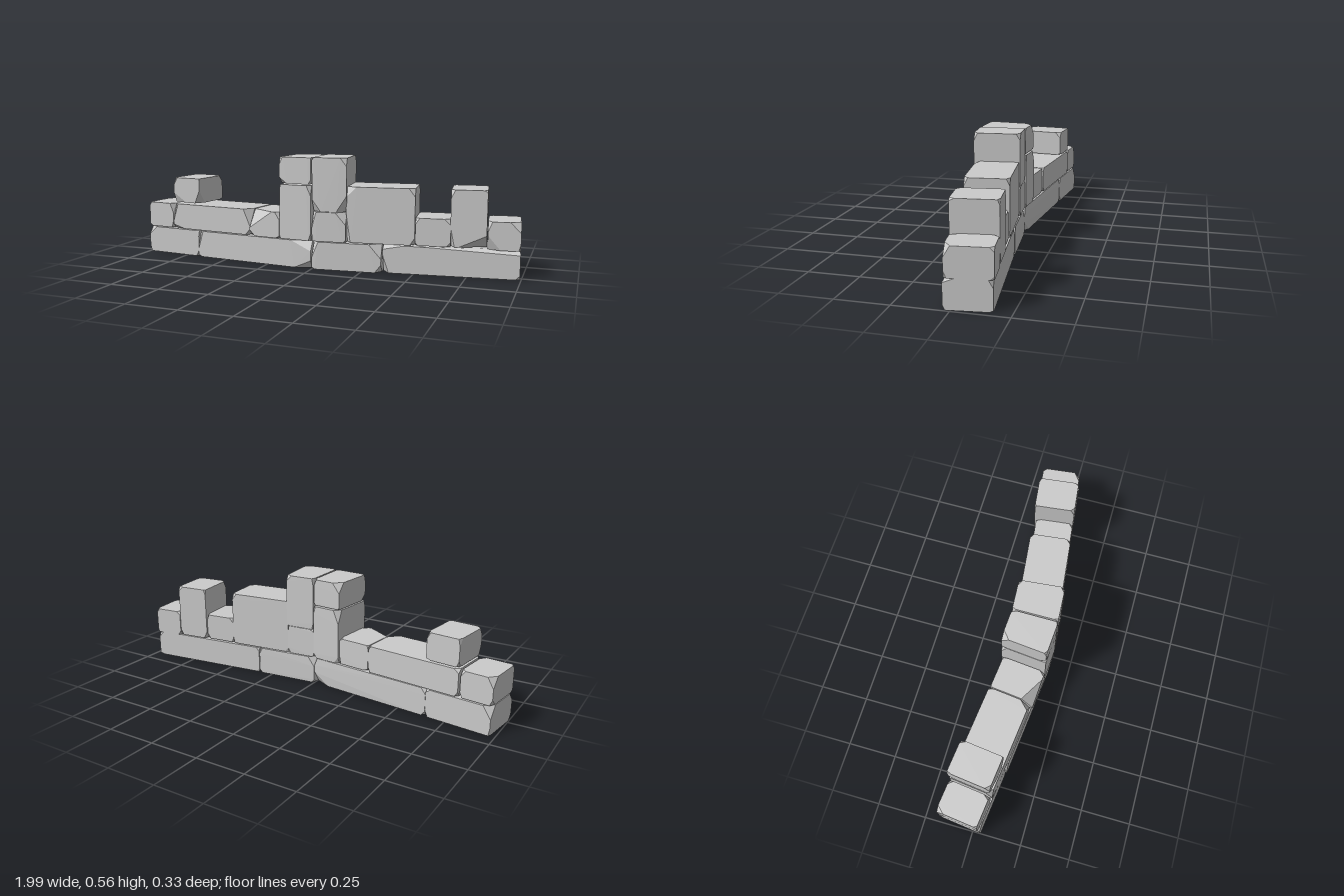
import * as THREE from 'three';
import { ConvexGeometry } from 'three/addons/geometries/ConvexGeometry.js';

// small seeded generator so every stone is chipped the same way each time
let seed = 7;
const rand = () => {
  seed = (seed * 16807) % 2147483647;
  return seed / 2147483647;
};

// centre line of the bowed wall, seen from above
const bow = (x) => 0.046 - 0.115 * Math.hypot(x, 0.1);
const slope = (x) => (-0.115 * x) / Math.hypot(x, 0.1);

// corner of a stone: position along the wall, height, distance from the centre line
function wallPoint(x, y, offset) {
  const n = new THREE.Vector2(-slope(x), 1).normalize();
  return new THREE.Vector3(x + n.x * offset, y, bow(x) + n.y * offset);
}

// a block whose eight corners are each sliced off
// chips: { corner: [along, up, deep] }, corner = L/R (-x/+x) + B/T + F/K (front/back)
function stoneGeometry([x0, x1, y0, y1, back = -0.11, front = 0.11, chips = {}]) {
  const lo = [x0, y0, back], hi = [x1, y1, front];
  const points = [];
  for (const ix of [0, 1]) for (const iy of [0, 1]) for (const iz of [0, 1]) {
    const side = [ix, iy, iz];
    const key = 'LR'[ix] + 'BT'[iy] + 'KF'[iz];
    const cut = chips[key] ||
      [0.006 + 0.02 * rand(), 0.006 + 0.035 * rand(), 0.006 + 0.025 * rand()];
    for (let axis = 0; axis < 3; axis++) {
      const p = side.map((s, i) => (s ? hi[i] : lo[i]));
      const size = hi[axis] - lo[axis];
      p[axis] += (side[axis] ? -1 : 1) * Math.min(cut[axis], size * 0.85);
      points.push(wallPoint(...p));
    }
  }
  return new ConvexGeometry(points);
}

// x0, x1, y0, y1, back, front, chips
const courses = {
  baseStone: [
    [-0.988, -0.662, 0, 0.138, -0.11, 0.11, { LTF: [0.05, 0.04, 0.03], LTK: [0.04, 0.06, 0.04] }],
    [-0.66, -0.005, 0, 0.138, -0.108, 0.115,
      { LTF: [0.03, 0.1, 0.03], RTF: [0.1, 0.05, 0.03], RBF: [0.08, 0.04, 0.03], RBK: [0.09, 0.06, 0.04] }],
    [0, 0.335, 0, 0.138, -0.108, 0.115,
      { LTF: [0.03, 0.08, 0.04], RTF: [0.06, 0.07, 0.04], RBF: [0.03, 0.04, 0.04], LTK: [0.04, 0.05, 0.04] }],
    [0.34, 0.983, 0, 0.136, -0.105, 0.1,
      { LTF: [0.1, 0.02, 0.05], LBF: [0.03, 0.09, 0.05], RTF: [0.45, 0.02, 0.05], RBF: [0.02, 0.02, 0.01], RTK: [0.03, 0.035, 0.02] }],
  ],
  middleStone: [
    [-0.988, -0.83, 0.142, 0.273, -0.105, 0.105, { RTF: [0.02, 0.05, 0.03], LTK: [0.03, 0.05, 0.04] }],
    [-0.822, -0.34, 0.142, 0.275, -0.11, 0.11,
      { RTF: [0.04, 0.09, 0.05], LTF: [0.03, 0.09, 0.03], LBF: [0.07, 0.02, 0.02], RBF: [0.03, 0.03, 0.03] }],
    [-0.335, -0.165, 0.142, 0.274, -0.105, 0.122, { LTF: [0.13, 0.09, 0.06], LBF: [0.03, 0.03, 0.03] }],
    [-0.162, -0.003, 0.142, 0.416, -0.115, 0.12, { LTK: [0.03, 0.07, 0.03], RTF: [0.02, 0.05, 0.02] }],
    [0.002, 0.162, 0.142, 0.288, -0.11, 0.118, { LTF: [0.02, 0.08, 0.03], RTF: [0.05, 0.06, 0.04] }],
    [0.163, 0.494, 0.142, 0.416, -0.105, 0.105, { LTF: [0.05, 0.05, 0.02], LBF: [0.02, 0.14, 0.03], RTF: [0.03, 0.04, 0.02] }],
    [0.496, 0.662, 0.142, 0.275, -0.1, 0.1, { LTF: [0.02, 0.03, 0.02], RTF: [0.03, 0.03, 0.02] }],
    [0.66, 0.828, 0.142, 0.416, -0.11, 0.1, { RBF: [0.13, 0.06, 0.05], LBF: [0.02, 0.1, 0.04], LTF: [0.02, 0.04, 0.02] }],
    [0.832, 0.983, 0.135, 0.27, -0.11, 0.095, { LTF: [0.02, 0.05, 0.04], LBF: [0.06, 0.07, 0.03], RTF: [0.05, 0.05, 0.03], RTK: [0.02, 0.02, 0.02] }],
  ],
  upperStone: [
    [-0.82, -0.655, 0.284, 0.416, -0.11, 0.105, { RBF: [0.03, 0.07, 0.05], LBF: [0.08, 0.05, 0.02] }],
    [-0.162, -0.003, 0.422, 0.553, -0.11, 0.12, { LTK: [0.04, 0.05, 0.04], LBF: [0.04, 0.03, 0.03] }],
    [0.003, 0.166, 0.29, 0.555, -0.11, 0.118,
      { LBF: [0.04, 0.06, 0.03], RBF: [0.05, 0.08, 0.03], RTF: [0.03, 0.04, 0.02], RTK: [0.03, 0.03, 0.02] }],
  ],
};

export function createModel() {
  seed = 7;
  const wall = new THREE.Group();
  wall.name = 'ruinedStoneWall';
  const material = new THREE.MeshStandardMaterial({ color: 0xcccccc, flatShading: true });
  for (const [name, stones] of Object.entries(courses)) {
    stones.forEach((stone, i) => {
      const mesh = new THREE.Mesh(stoneGeometry(stone), material);
      mesh.name = `${name}${i + 1}`;
      wall.add(mesh);
    });
  }
  return wall;
}
